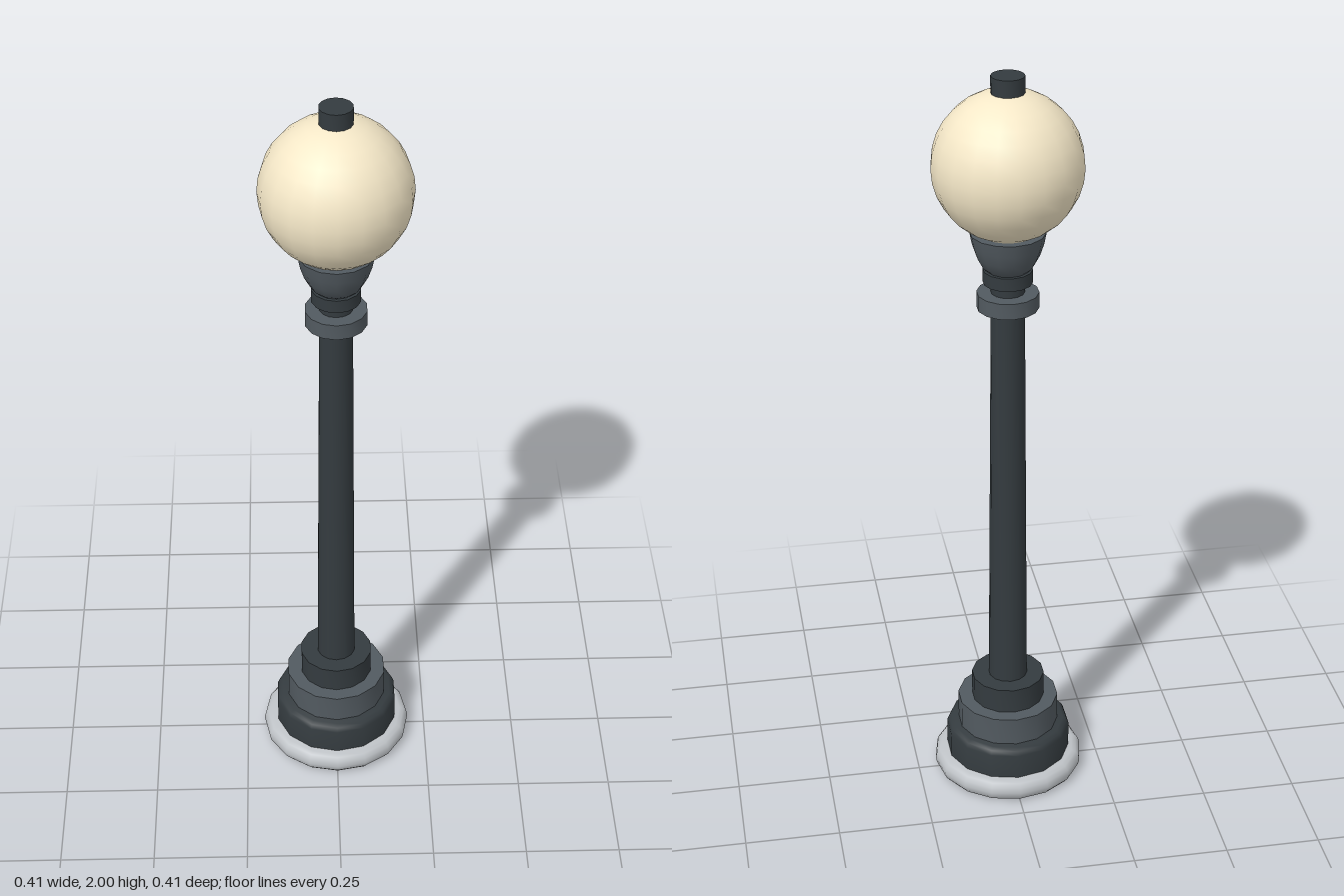
import * as THREE from 'three';
import { toCreasedNormals } from 'three/addons/utils/BufferGeometryUtils.js';

const material = (color) => new THREE.MeshStandardMaterial({ color });

// Closed turned part from [radius, height] pairs, listed bottom to top
function turned(name, profile, mat, sides = 14, crease = 0.6) {
  const top = profile[profile.length - 1][1];
  const points = [[0, profile[0][1]], ...profile, [0, top]].map(([r, y]) => new THREE.Vector2(r, y));
  const mesh = new THREE.Mesh(toCreasedNormals(new THREE.LatheGeometry(points, sides), crease), mat);
  mesh.name = name;
  return mesh;
}

const drum = (name, r, y0, y1, mat, rTop = r) => turned(name, [[r, y0], [rTop, y1]], mat);

export function createModel() {
  const group = new THREE.Group();
  group.name = 'streetLamp';
  const stone = material(0xbfc3c7);
  const iron = material(0x343b3f);
  const lightIron = material(0x525a60);
  const glass = material(0xf5e8c8);

  // Foot slab with a rounded rim
  const rim = [];
  for (let i = 0; i <= 6; i++) {
    const a = -Math.PI / 2 + (i / 6) * Math.PI;
    rim.push([0.18 + 0.023 * Math.cos(a), 0.029 + 0.029 * Math.sin(a)]);
  }
  group.add(turned('footSlab', rim, stone, 16, 0.8));

  // Stepped pedestal
  group.add(turned('lowerPlinth', [[0.168, 0.05], [0.168, 0.128], [0.163, 0.141], [0.152, 0.147]], iron, 14, 0.8));
  group.add(drum('middlePlinth', 0.136, 0.14, 0.225, lightIron));
  group.add(drum('upperPlinth', 0.098, 0.22, 0.295, iron));

  // Tapered post and its collars
  group.add(drum('post', 0.052, 0.29, 1.40, iron, 0.043));
  group.add(drum('collar', 0.079, 1.393, 1.435, lightIron));
  group.add(drum('neck', 0.043, 1.43, 1.47, iron));
  group.add(drum('neckRing', 0.063, 1.462, 1.497, iron));

  // Flared cup holding the globe
  group.add(turned('globeCup',
    [[0.052, 1.495], [0.065, 1.507], [0.08, 1.535], [0.09, 1.565], [0.096, 1.597]], lightIron));

  // Globe and cap
  const globe = new THREE.Mesh(new THREE.SphereGeometry(0.19, 20, 16), glass);
  globe.name = 'globe';
  globe.position.y = 1.772;
  group.add(globe);
  group.add(drum('cap', 0.042, 1.94, 2.0, iron));

  return group;
}
